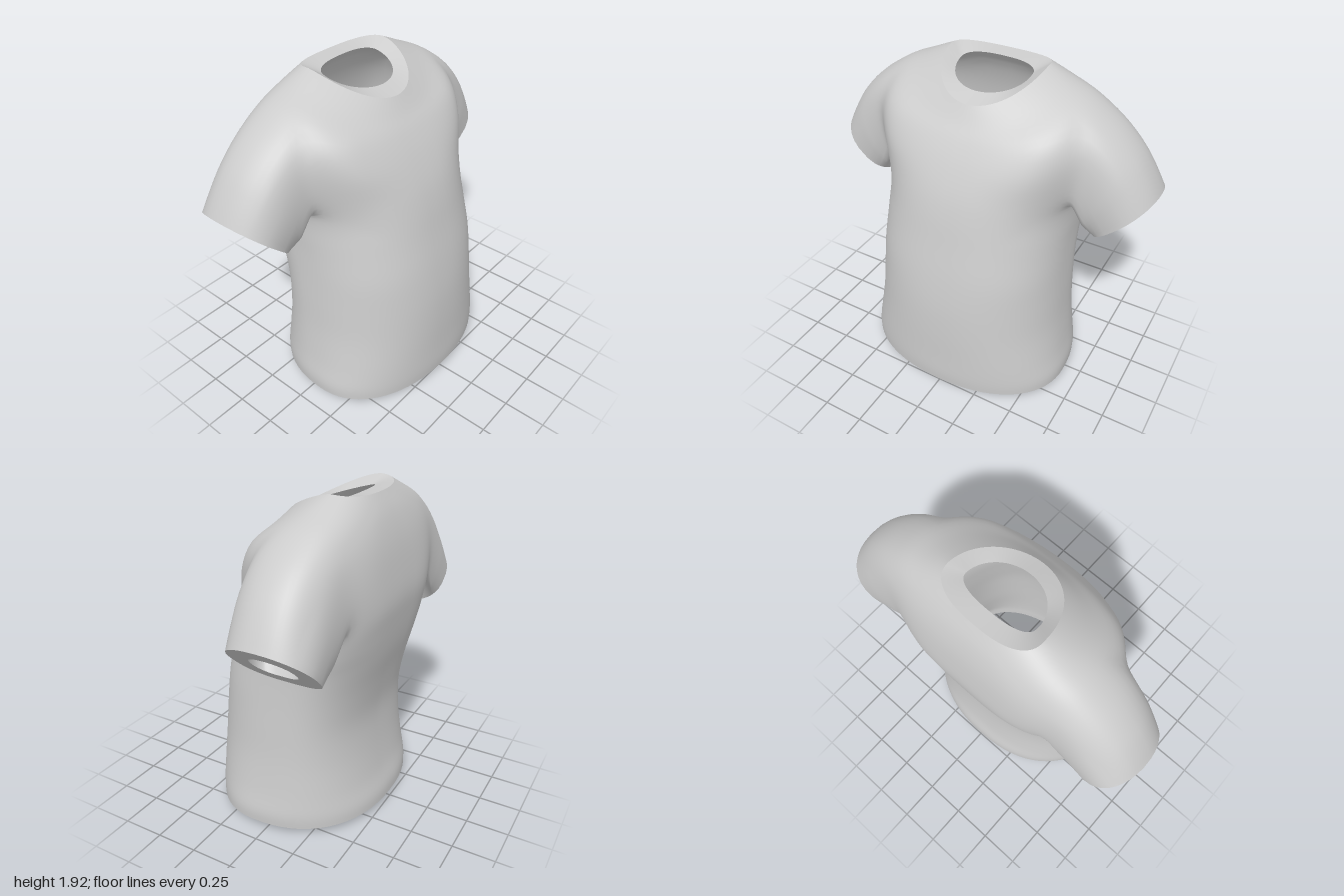
import * as THREE from 'three';
import { mergeVertices } from 'three/addons/utils/BufferGeometryUtils.js';

// Torso rings from hem to neck:
// side y, front y, back y, half width, side z, front z, back z, front and back squareness
const RINGS = [
  [0.045, 0.045, 0.045, 0.657, 0.08, 0.53, -0.50, 2.2, 2.3],
  [0.12, 0.12, 0.12, 0.657, 0.07, 0.535, -0.495, 2.2, 2.3],
  [0.25, 0.25, 0.25, 0.632, 0.04, 0.533, -0.46, 2.3, 2.4],
  [0.45, 0.45, 0.45, 0.604, 0, 0.53, -0.43, 2.3, 2.4],
  [0.65, 0.65, 0.65, 0.588, -0.02, 0.518, -0.42, 2.3, 2.5],
  [0.83, 0.85, 0.85, 0.575, -0.05, 0.49, -0.45, 2.4, 2.6],
  [0.99, 1.05, 1.05, 0.568, -0.1, 0.45, -0.495, 2.4, 2.8],
  [1.13, 1.22, 1.22, 0.573, -0.17, 0.415, -0.52, 2.4, 3.2],
  [1.26, 1.36, 1.36, 0.592, -0.2, 0.373, -0.53, 2.5, 3.5],
  [1.55, 1.5, 1.52, 0.655, -0.2, 0.31, -0.51, 2.6, 3.4],
  [1.775, 1.61, 1.67, 0.635, -0.2, 0.245, -0.478, 2.5, 3],
  [1.845, 1.69, 1.8, 0.475, -0.21, 0.185, -0.43, 2.2, 2.8],
  [1.922, 1.77, 1.9, 0.3, -0.22, 0.13, -0.37, 2, 2.5],
];
const STEP = 4; // rows per ring
const ROWS = (RINGS.length - 1) * STEP;
const COLS = 36; // half circle, back to front
const HOLE = { r0: 8 * STEP, r1: 10 * STEP, c0: 9, c1: 23 }; // armhole cells
const THICK = 0.075;

const splines = RINGS[0].map((_, k) =>
  new THREE.SplineCurve(RINGS.map((ring, i) => new THREE.Vector2(i, ring[k]))));

function torsoPoint(r, c) {
  const [ys, yf, yb, w, zs, zf, zb, nf, nb] = splines.map(s => s.getPoint(r / ROWS).y);
  const a = (c / COLS - 0.5) * Math.PI;
  const front = a > 0;
  const p = 2 / (front ? nf : nb);
  const s = Math.abs(Math.sin(a));
  return new THREE.Vector3(
    w * Math.pow(Math.max(0, Math.cos(a)), p),
    THREE.MathUtils.lerp(ys, front ? yf : yb, Math.pow(s, 1.4)),
    THREE.MathUtils.lerp(zs, front ? zf : zb, Math.pow(s, p)));
}

// Outer skin: half a torso with an armhole, a sleeve grown from its edge, then mirrored.
// inset = way to the lining inside a sleeve, soft = how much the armhole seam is rounded
function outerSkin() {
  const pos = [], inset = [], soft = [], index = [];
  const add = (p, d, w) => { pos.push(p.x, p.y, p.z); inset.push(d.x, d.y, d.z); soft.push(w); };
  const quad = (a, u, d, ud) => index.push(a, u, d, d, u, ud);
  const none = new THREE.Vector3();

  for (let r = 0; r <= ROWS; r++)
    for (let c = 0; c <= COLS; c++) {
      const away = Math.max(HOLE.r0 - r, r - HOLE.r1, HOLE.c0 - c, c - HOLE.c1, 0);
      add(torsoPoint(r, c), none, Math.max(0, 1 - away / 6));
    }
  const id = (r, c) => r * (COLS + 1) + c;
  for (let r = 0; r < ROWS; r++)
    for (let c = 0; c < COLS; c++) {
      const inHole = r >= HOLE.r0 && r < HOLE.r1 && c >= HOLE.c0 && c < HOLE.c1;
      if (!inHole) quad(id(r, c), id(r + 1, c), id(r, c + 1), id(r + 1, c + 1));
    }

  // Armhole edge
  const loop = [];
  for (let c = HOLE.c0; c < HOLE.c1; c++) loop.push(torsoPoint(HOLE.r0, c));
  for (let r = HOLE.r0; r < HOLE.r1; r++) loop.push(torsoPoint(r, HOLE.c1));
  for (let c = HOLE.c1; c > HOLE.c0; c--) loop.push(torsoPoint(HOLE.r1, c));
  for (let r = HOLE.r1; r > HOLE.r0; r--) loop.push(torsoPoint(r, HOLE.c0));

  // Sleeve, from the armhole to the tilted cuff, which is squarer below
  const n = loop.length, steps = 14, base = pos.length / 3;
  const curves = loop.map(p => {
    const a = Math.atan2((p.y - 1.52) / 0.25, (p.z + 0.18) / 0.28);
    const squared = v => Math.sign(v) * Math.pow(Math.abs(v), a > 0 ? 0.95 : 0.75);
    const up = squared(Math.sin(a));
    const q = new THREE.Vector3(0.84 + 0.16 * up, 1.19 + 0.15 * up, -0.215 + 0.245 * squared(Math.cos(a)));
    const mid = p.clone().lerp(q, 0.5);
    mid.x += 0.03 * Math.max(0, up);
    mid.y += 0.1 * Math.max(0, up);
    return new THREE.QuadraticBezierCurve3(p, mid, q);
  });
  for (let s = 0; s <= steps; s++) {
    const t = s / steps;
    const ring = curves.map(curve => curve.getPoint(t));
    const centre = new THREE.Box3().setFromPoints(ring).getCenter(new THREE.Vector3());
    for (const p of ring) {
      const d = s ? centre.clone().sub(p).multiplyScalar(0.3 + 0.18 * t) : none;
      add(p, d, Math.max(0, 1 - t * 1.6));
    }
  }
  for (let s = 0; s < steps; s++)
    for (let i = 0; i < n; i++) {
      const j = (i + 1) % n, a = base + s * n;
      quad(a + i, a + n + i, a + j, a + n + j);
    }

  // Mirror to the other side
  const count = soft.length, halfIndex = index.length;
  const flip = (list, i) => new THREE.Vector3(-list[3 * i], list[3 * i + 1], list[3 * i + 2]);
  for (let i = 0; i < count; i++) add(flip(pos, i), flip(inset, i), soft[i]);
  for (let i = 0; i < halfIndex; i += 3)
    index.push(index[i] + count, index[i + 2] + count, index[i + 1] + count);

  const g = new THREE.BufferGeometry();
  g.setAttribute('position', new THREE.Float32BufferAttribute(pos, 3));
  g.setAttribute('inset', new THREE.Float32BufferAttribute(inset, 3));
  g.setAttribute('soft', new THREE.Float32BufferAttribute(soft, 1));
  g.setIndex(index);
  const merged = mergeVertices(g, 1e-4);
  roundSeams(merged, 10);
  merged.computeVertexNormals();
  return merged;
}

// Pull each soft vertex towards the mean of its neighbours
function roundSeams(g, passes) {
  const { position, soft } = g.attributes;
  const index = g.index.array;
  const near = Array.from({ length: position.count }, () => new Set());
  for (let i = 0; i < index.length; i += 3)
    for (let k = 0; k < 3; k++) {
      const a = index[i + k], b = index[i + (k + 1) % 3];
      near[a].add(b);
      near[b].add(a);
    }
  const at = i => new THREE.Vector3().fromBufferAttribute(position, i);
  for (let pass = 0; pass < passes; pass++) {
    const moved = near.map((set, i) => {
      const p = at(i);
      if (soft.getX(i) === 0) return p;
      const mean = new THREE.Vector3();
      for (const j of set) mean.addScaledVector(at(j), 1 / set.size);
      return p.lerp(mean, 0.6 * soft.getX(i));
    });
    moved.forEach((p, i) => position.setXYZ(i, p.x, p.y, p.z));
  }
}

// Edges used by one triangle only: the openings
function openEdges(index) {
  const edges = new Map();
  for (let i = 0; i < index.length; i += 3)
    for (let k = 0; k < 3; k++) {
      const a = index[i + k], b = index[i + (k + 1) % 3];
      if (!edges.delete(b + '_' + a)) edges.set(a + '_' + b, [a, b]);
    }
  return [...edges.values()];
}

export function createModel() {
  const group = new THREE.Group();
  const material = new THREE.MeshStandardMaterial({ color: 0xcccccc, side: THREE.DoubleSide });
  const addMesh = (name, geometry) => {
    const mesh = new THREE.Mesh(geometry, material);
    mesh.name = name;
    group.add(mesh);
  };

  const skin = outerSkin();
  const index = Array.from(skin.index.array);
  const { position, normal, inset } = skin.attributes;
  const edges = openEdges(index);
  const onEdge = new Set(edges.flat());

  // Lining: the skin moved inward, with the collar and hem shaped at their edges
  const outer = [], inner = [];
  for (let i = 0; i < position.count; i++) {
    const p = new THREE.Vector3().fromBufferAttribute(position, i);
    const d = new THREE.Vector3().fromBufferAttribute(inset, i);
    if (d.lengthSq() === 0) d.fromBufferAttribute(normal, i).multiplyScalar(-THICK);
    const q = p.clone().add(d);
    if (onEdge.has(i) && p.y > 1.7)
      q.set(p.x * 0.74, 1.827 - 0.17 * p.z, -0.12 + (p.z + 0.12) * 0.6);
    else if (onEdge.has(i) && p.y < 0.2) q.y = 0.01 + 0.02 * p.z;
    outer.push(p);
    inner.push(q);
  }
  const lining = new THREE.BufferGeometry().setFromPoints(inner);
  const flipped = [];
  for (let i = 0; i < index.length; i += 3) flipped.push(index[i], index[i + 2], index[i + 1]);
  lining.setIndex(flipped);
  lining.computeVertexNormals();

  addMesh('shirtShell', skin);
  addMesh('lining', lining);

  // Rims joining skin and lining at each opening
  const rims = { collarRim: [], hemRim: [], leftCuffRim: [], rightCuffRim: [] };
  for (const [a, b] of edges) {
    const { x, y } = outer[a];
    const name = y > 1.7 ? 'collarRim' : y < 0.2 ? 'hemRim' : x > 0 ? 'leftCuffRim' : 'rightCuffRim';
    rims[name].push(outer[b], outer[a], inner[a], outer[b], inner[a], inner[b]);
  }
  for (const [name, points] of Object.entries(rims)) {
    const rim = mergeVertices(new THREE.BufferGeometry().setFromPoints(points));
    rim.computeVertexNormals();
    addMesh(name, rim);
  }
  return group;
}
